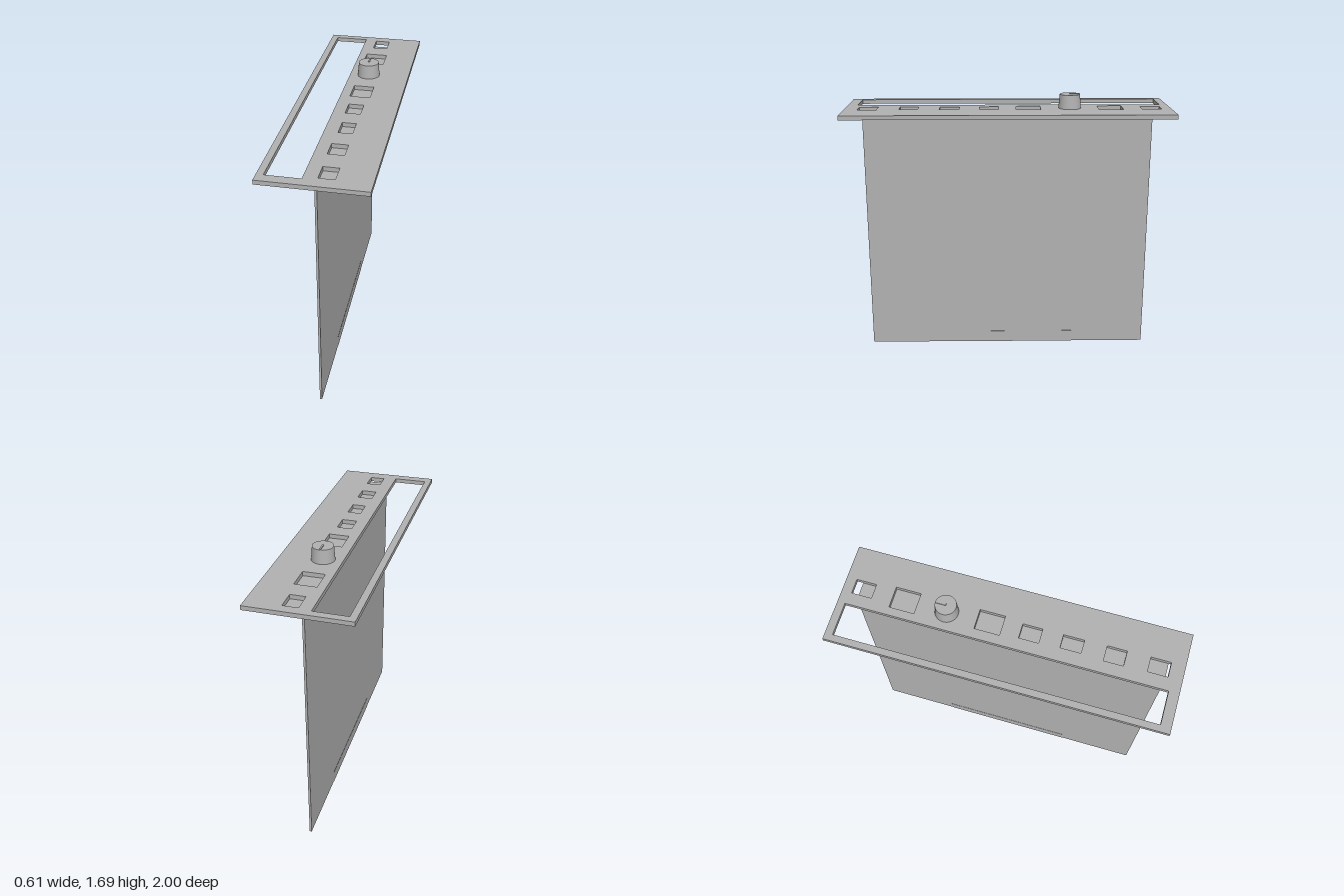
import * as THREE from 'three';

export function createModel() {
  const model = new THREE.Group();
  const grey = new THREE.MeshStandardMaterial({ color: 0xb2b2b2 });
  grey.name = 'plain grey';

  function add(name, geometry) {
    const mesh = new THREE.Mesh(geometry, grey);
    mesh.name = name;
    model.add(mesh);
    return mesh;
  }

  // box given by its limits on each axis
  function box(name, x0, x1, y0, y1, z0, z1) {
    const mesh = add(name, new THREE.BoxGeometry(x1 - x0, y1 - y0, z1 - z0));
    mesh.position.set((x0 + x1) / 2, (y0 + y1) / 2, (z0 + z1) / 2);
  }

  // rectangle in plan; shape y is -z
  function rect(target, x0, x1, z0, z1) {
    target.moveTo(x0, -z1);
    target.lineTo(x1, -z1);
    target.lineTo(x1, -z0);
    target.lineTo(x0, -z0);
    target.closePath();
    return target;
  }

  // face plate with the long slot and the row of openings
  const plate = rect(new THREE.Shape(), -0.305, 0.305, -1, 1);
  const openings = [
    [-0.265, -0.063, -0.954, 0.938],
    [0.01, 0.1, -0.94, -0.82],
    [-0.014, 0.117, -0.705, -0.555],
    [-0.005, 0.117, -0.2, -0.05],
    [0.01, 0.1, 0.058, 0.175],
    [0.018, 0.1, 0.297, 0.419],
    [0.01, 0.104, 0.55, 0.665],
    [0.016, 0.106, 0.8, 0.917],
  ];
  for (const o of openings) plate.holes.push(rect(new THREE.Path(), ...o));
  const plateGeometry = new THREE.ExtrudeGeometry(plate, { depth: 0.026, bevelEnabled: false });
  plateGeometry.rotateX(-Math.PI / 2);
  add('facePlate', plateGeometry).position.y = 1.574;

  // upright board and the backing strip under the openings
  box('board', -0.007, 0.006, 0, 1.574, -0.905, 0.905);
  box('backingStrip', 0.006, 0.118, 1.555, 1.574, -0.905, 0.905);

  // thin contact strips at the foot of the board, one per side
  box('contactStripLeft', 0.006, 0.0075, 0, 0.075, -0.43, 0.42);
  box('contactStripRight', -0.0085, -0.007, 0, 0.075, -0.43, 0.42);

  // tapered knob with a pointer on top
  const knob = add('knob', new THREE.CylinderGeometry(0.062, 0.069, 0.085, 40));
  knob.position.set(0.053, 1.6425, -0.38);
  box('knobPointer', 0.048, 0.058, 1.684, 1.69, -0.437, -0.378);

  return model;
}
